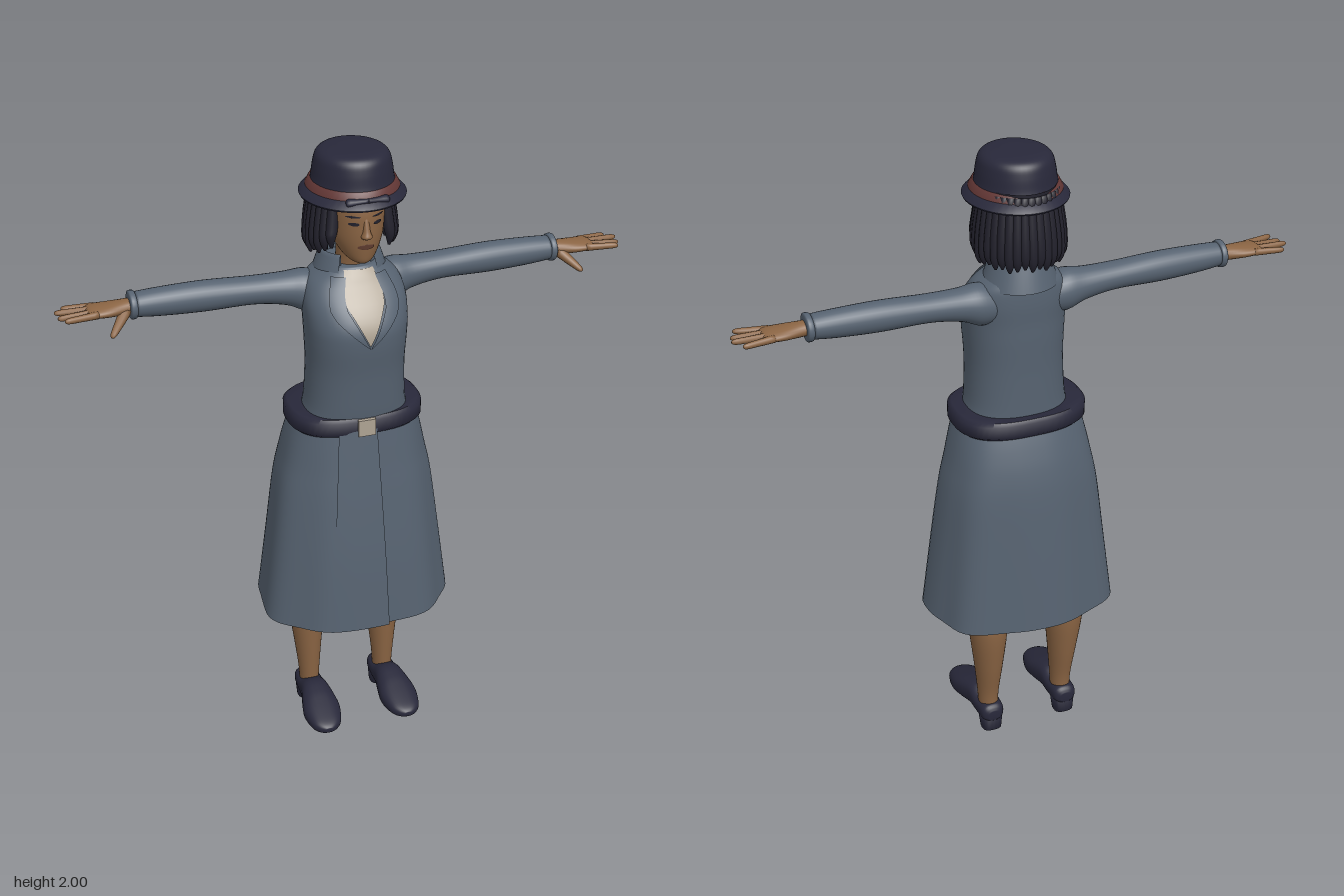
import * as THREE from 'three';
import { toCreasedNormals } from 'three/addons/utils/BufferGeometryUtils.js';

const mat = (name, color, double) => new THREE.MeshStandardMaterial({
  name, color, side: double ? THREE.DoubleSide : THREE.FrontSide });
const M = {
  cloth: mat('slate cloth', 0x566270, true),
  skin: mat('skin', 0x8a6443),
  dark: mat('dark felt and leather', 0x28283a),
  hair: mat('hair', 0x22212c, true),
  shirt: mat('shirt', 0xaea393, true),
  band: mat('hat band', 0x633735),
  lips: mat('lips', 0x613d30, true),
};

// Grid surface from fn(u, v); wrap joins the last column to the first.
function grid(nu, nv, fn, wrap = false, caps = false) {
  const pos = [], idx = [], cols = wrap ? nu : nu + 1;
  for (let j = 0; j <= nv; j++) for (let i = 0; i < cols; i++) pos.push(...fn(i / nu, j / nv, j));
  for (let j = 0; j < nv; j++) for (let i = 0; i < nu; i++) {
    const a = j * cols + i, b = j * cols + (i + 1) % cols, c = a + cols, d = b + cols;
    if (wrap) idx.push(a, c, b, b, c, d); else idx.push(a, b, c, b, d, c);
  }
  if (caps) for (const j of [0, nv]) {
    const mid = [0, 0, 0], k = pos.length / 3;
    for (let i = 0; i < cols; i++) for (let n = 0; n < 3; n++) mid[n] += pos[(j * cols + i) * 3 + n] / cols;
    pos.push(...mid);
    for (let i = 0; i < cols; i++) {
      const a = j * cols + i, b = j * cols + (i + 1) % cols;
      if (j) idx.push(a, k, b); else idx.push(a, b, k);
    }
  }
  const g = new THREE.BufferGeometry();
  g.setAttribute('position', new THREE.Float32BufferAttribute(pos, 3));
  g.setIndex(idx);
  g.computeVertexNormals();
  return g;
}

// Smoothly resample cross-section rows [y, centreX, centreZ, radiusX, radiusZ].
function smooth(keys, steps = 5) {
  const out = [], at = i => keys[Math.min(Math.max(i, 0), keys.length - 1)];
  for (let i = 0; i < keys.length - 1; i++) for (let s = 0; s < steps; s++) {
    const t = s / steps;
    out.push(keys[i].map((p1, n) => {
      const p0 = at(i - 1)[n], p2 = at(i + 1)[n], p3 = at(i + 2)[n];
      return p1 + 0.5 * t * (p2 - p0 + t * (2 * p0 - 5 * p1 + 4 * p2 - p3 + t * (3 * (p1 - p2) + p3 - p0)));
    }));
  }
  out.push(keys[keys.length - 1]);
  return out;
}

const sp = (v, p) => Math.sign(v) * Math.abs(v) ** p;
function loft(rows, { pow = 1, segs = 32, caps = true, wave = () => 0 } = {}) {
  return grid(segs, rows.length - 1, (u, v, j) => {
    const [y, cx, cz, rx, rz] = rows[j], a = u * Math.PI * 2, w = 1 + wave(a, v);
    return [cx + rx * w * sp(Math.cos(a), pow), y, cz + rz * w * sp(Math.sin(a), pow)];
  }, true, caps);
}

// Front surface depth of a loft at (x, y).
function frontZ(rows, pow, x, y) {
  let i = 0;
  while (i < rows.length - 2 && rows[i + 1][0] < y) i++;
  const t = THREE.MathUtils.clamp((y - rows[i][0]) / (rows[i + 1][0] - rows[i][0]), 0, 1);
  const [, , cz, rx, rz] = rows[i].map((p, n) => p + (rows[i + 1][n] - p) * t);
  return cz + rz * Math.max(0, 1 - Math.abs(x / rx) ** (2 / pow)) ** (pow / 2);
}
// Thin patch lying on a loft's front, between two side curves.
const patch = (rows, pow, y0, y1, left, right, off, nu = 8, nv = 14) => grid(nu, nv, (u, v) => {
  const y = y0 + (y1 - y0) * v, a = left(v), x = a + (right(v) - a) * u;
  return [x, y, frontZ(rows, pow, x, y) + off];
});
const spot = (rows, cx, cy, w, h, off = 0.003) => patch(rows, 1, cy - h, cy + h,
  v => cx - w * Math.sqrt(Math.sin(Math.PI * v) + 1e-6),
  v => cx + w * Math.sqrt(Math.sin(Math.PI * v) + 1e-6), off, 6, 6);

// Tapered round limb from a to b.
function limb(a, b, r0, r1) {
  const A = new THREE.Vector3(...a), d = new THREE.Vector3(...b).sub(A), L = d.length();
  const g = loft(smooth([[0, 0, 0, r0, r0], [L * 0.5, 0, 0, (r0 + r1) / 2, (r0 + r1) / 2],
    [L * 0.9, 0, 0, r1, r1], [L, 0, 0, r1 * 0.35, r1 * 0.35]], 3), { segs: 10 });
  g.applyQuaternion(new THREE.Quaternion().setFromUnitVectors(new THREE.Vector3(0, 1, 0), d.normalize()));
  return g.translate(A.x, A.y, A.z);
}
function mirror(g) {
  const m = g.clone(), p = m.attributes.position, ix = m.index.array;
  for (let i = 0; i < p.count; i++) p.setX(i, -p.getX(i));
  for (let i = 0; i < ix.length; i += 3) [ix[i], ix[i + 1]] = [ix[i + 1], ix[i]];
  m.computeVertexNormals();
  return m;
}

export function createModel() {
  const root = new THREE.Group();
  root.name = 'standingWoman';
  const add = (name, g, m) => { const o = new THREE.Mesh(g, m); o.name = name; root.add(o); };
  const pair = (name, g, m) => { add(name + 'Left', g, m); add(name + 'Right', mirror(g), m); };

  // Skirt with a waving hem and an overlapping front panel
  const skirt = smooth([[0.46, 0, 0, 0.305, 0.232], [0.7, 0, 0, 0.275, 0.213], [0.9, 0, -0.003, 0.25, 0.192],
    [1.0, 0, -0.002, 0.23, 0.177], [1.08, 0, 0.004, 0.213, 0.16], [1.15, 0, 0.012, 0.195, 0.142]]);
  add('skirt', loft(skirt, { pow: 0.82, segs: 72, caps: false,
    wave: (a, v) => 0.025 * (1 - v) * Math.sin(7 * a + 0.6) }), M.cloth);
  add('skirtFrontPanel', patch(skirt, 0.82, 0.46, 1.14, v => -0.14 + 0.05 * v, v => 0.05 - 0.02 * v, 0.008), M.cloth);

  // Jacket body
  const torso = smooth([[1.14, 0, 0.02, 0.17, 0.13], [1.2, 0, 0.025, 0.156, 0.134], [1.32, 0, 0.03, 0.15, 0.138],
    [1.42, 0, 0.035, 0.154, 0.145], [1.48, 0, 0.033, 0.157, 0.143], [1.54, 0, 0.016, 0.157, 0.128],
    [1.59, 0, -0.004, 0.142, 0.106], [1.62, 0, -0.012, 0.108, 0.094], [1.64, 0, -0.015, 0.075, 0.08]]);
  add('jacketBody', loft(torso, { pow: 0.85, segs: 48 }), M.cloth);

  // Shirt front and lapels
  const shirtW = v => 0.06 * Math.min(1, v * 1.7) - 0.015 * Math.max(0, v - 0.75) * 4;
  add('shirtFront', patch(torso, 0.85, 1.43, 1.635, v => -shirtW(v), shirtW, 0.005), M.shirt);
  pair('lapel', patch(torso, 0.85, 1.425, 1.62, shirtW,
    v => shirtW(v) + 0.002 + 0.058 * Math.min(1, v * 2.2) * (1 - 0.35 * v), 0.009), M.cloth);

  // Turned-over collar, open at the front
  const fold = [[0.082, 1.6], [0.08, 1.665], [0.086, 1.677], [0.094, 1.665], [0.118, 1.595]];
  add('collar', grid(36, 4, (u, v, j) => {
    const a = 0.6 + u * (Math.PI * 2 - 1.2), [r, y] = fold[j];
    return [Math.sin(a) * r, y, -0.02 + Math.cos(a) * r * 0.95];
  }), M.cloth);

  // Belt and buckle
  add('belt', toCreasedNormals(loft([[1.125, 0, 0.01, 0.17, 0.12], [1.12, 0, 0.006, 0.2, 0.148],
    [1.13, 0, 0.006, 0.212, 0.157], [1.17, 0, 0.006, 0.212, 0.157], [1.18, 0, 0.006, 0.2, 0.148],
    [1.175, 0, 0.01, 0.15, 0.12]], { pow: 0.75, segs: 56 }), 0.9), M.dark);
  const buckle = new THREE.BoxGeometry(0.055, 0.054, 0.012);
  add('buckle', buckle.translate(-0.004, 1.15, 0.164), M.shirt);

  // Sleeves, laid along x: rows are [x, height, z, radiusY, radiusZ]
  const alongX = (keys, o) => loft(smooth(keys.map(([x, y, ...r]) => [x, -y, ...r])), o).rotateZ(-Math.PI / 2);
  pair('sleeve', alongX([[0.09, 1.54, -0.03, 0.058, 0.06], [0.14, 1.545, -0.033, 0.066, 0.062],
    [0.2, 1.555, -0.037, 0.051, 0.052], [0.3, 1.563, -0.038, 0.043, 0.047], [0.45, 1.566, -0.038, 0.047, 0.046],
    [0.58, 1.568, -0.037, 0.043, 0.043], [0.655, 1.57, -0.036, 0.037, 0.041]], { segs: 28 }), M.cloth);
  pair('cuff', alongX([[0.652, 1.57, -0.036, 0.036, 0.04], [0.656, 1.57, -0.036, 0.042, 0.045],
    [0.67, 1.57, -0.036, 0.042, 0.045], [0.673, 1.57, -0.036, 0.03, 0.034]], { segs: 28 }), M.cloth);

  // Hands
  pair('palm', alongX([[0.65, 1.57, -0.036, 0.021, 0.026], [0.69, 1.568, -0.034, 0.022, 0.031],
    [0.74, 1.567, -0.033, 0.019, 0.042], [0.785, 1.568, -0.033, 0.014, 0.044],
    [0.8, 1.568, -0.033, 0.006, 0.036]], { segs: 20 }), M.skin);
  for (const [i, tip] of [0.865, 0.89, 0.885, 0.87].entries()) {
    pair('finger' + (i + 1), limb([0.77, 1.568, -0.066 + i * 0.022],
      [tip, 1.566 + 0.004 * (i % 2), -0.08 + i * 0.033], 0.0115, 0.0085), M.skin);
  }
  pair('thumb', limb([0.685, 1.56, -0.02], [0.742, 1.51, 0.042], 0.018, 0.009), M.skin);

  // Legs
  pair('leg', loft(smooth([[0.04, 0.13, -0.065, 0.03, 0.038], [0.13, 0.13, -0.063, 0.034, 0.042],
    [0.25, 0.131, -0.071, 0.046, 0.058], [0.38, 0.133, -0.077, 0.061, 0.071], [0.46, 0.134, -0.072, 0.065, 0.072],
    [0.65, 0.125, -0.04, 0.072, 0.08], [1.0, 0.1, 0, 0.085, 0.09]])), M.skin);

  // Shoes, laid along z: rows are [z, x, bottom, top, radiusX]
  const shoe = [[-0.122, 0.13, 0.045, 0.08, 0.02], [-0.105, 0.13, 0.035, 0.1, 0.038], [-0.05, 0.13, 0.033, 0.1, 0.043],
    [0, 0.131, 0.03, 0.118, 0.046], [0.05, 0.133, 0.022, 0.11, 0.056], [0.1, 0.135, 0.018, 0.094, 0.062],
    [0.155, 0.137, 0.024, 0.074, 0.05], [0.18, 0.138, 0.03, 0.063, 0.032], [0.192, 0.138, 0.038, 0.054, 0.012]];
  pair('shoe', loft(smooth(shoe.map(([z, x, b, t, r]) => [z, x, -(b + t) / 2, r, (t - b) / 2])),
    { pow: 0.8, segs: 28 }).rotateX(Math.PI / 2), M.dark);
  pair('shoeHeel', loft([[0, 0.13, -0.088, 0.033, 0.029], [0.06, 0.13, -0.083, 0.039, 0.037]],
    { pow: 0.7, segs: 20 }), M.dark);

  // Neck and head
  add('neck', loft(smooth([[1.58, 0, -0.015, 0.06, 0.058], [1.65, 0, 0, 0.048, 0.05], [1.74, 0, 0.012, 0.05, 0.055]])), M.skin);
  const head = smooth([[1.672, 0, 0.098, 0.016, 0.02], [1.682, 0, 0.078, 0.037, 0.05], [1.705, 0, 0.058, 0.057, 0.076],
    [1.745, 0, 0.04, 0.076, 0.1], [1.79, 0, 0.03, 0.084, 0.112], [1.85, 0, 0.02, 0.09, 0.118], [1.92, 0, 0.012, 0.085, 0.1]]);
  add('head', loft(head, { segs: 40 }), M.skin);
  add('nose', loft(smooth([[1.757, 0, 0.138, 0.008, 0.006], [1.766, 0, 0.142, 0.017, 0.019],
    [1.785, 0, 0.14, 0.011, 0.014], [1.825, 0, 0.132, 0.008, 0.008]]), { segs: 14 }), M.skin);
  add('lips', spot(head, 0, 1.733, 0.026, 0.009), M.lips);
  pair('eye', spot(head, 0.036, 1.806, 0.015, 0.006), M.hair);
  pair('eyebrow', spot(head, 0.038, 1.828, 0.02, 0.0035), M.hair);

  // Bobbed hair: an inner shell behind a row of hanging locks
  const a0 = 0.78, sweep = Math.PI * 2 - 2 * a0;
  add('hairShell', grid(32, 4, (u, v) => {
    const a = a0 + 0.15 + u * (sweep - 0.3), r = 1 - 0.06 * v;
    return [Math.sin(a) * 0.118 * r, 1.71 + 0.2 * v, -0.01 + Math.cos(a) * 0.13 * r];
  }), M.hair);
  const locks = 28;
  for (let i = 0; i < locks; i++) {
    const a = a0 + sweep * i / (locks - 1), front = Math.max(0, Math.cos(a));
    const tip = 1.672 + 0.05 * front + 0.012 * ((i * 7) % 5) / 4;
    const row = (y, k, r) => [y, Math.sin(a) * 0.124 * k, -0.012 + Math.cos(a) * 0.134 * k, r, r];
    add('hairLock' + (i + 1), loft(smooth([row(tip, 1.02, 0.004), row(tip + 0.035, 1.04, 0.015),
      row(1.79, 0.98, 0.018), row(1.9, 0.86, 0.014)], 4), { segs: 10 }), M.hair);
  }

  // Hat: brim, crown, band and a small bow
  const ring = (y, r) => [y, 0, 0.01, r, r * 1.08];
  add('hatBrim', toCreasedNormals(loft([ring(1.88, 0.1), ring(1.868, 0.125), ring(1.858, 0.156),
    ring(1.863, 0.158), ring(1.89, 0.134), ring(1.895, 0.1)], { segs: 48 }), 0.8), M.dark);
  add('hatCrown', loft(smooth([ring(1.88, 0.13), ring(1.91, 0.122), ring(1.95, 0.116), ring(1.98, 0.107),
    ring(1.995, 0.085), ring(2.0, 0.04)]), { segs: 48 }), M.dark);
  add('hatBand', loft([ring(1.876, 0.139), ring(1.884, 0.139), ring(1.905, 0.128), ring(1.906, 0.12)], { segs: 48 }), M.band);
  pair('hatBow', limb([0, 1.884, 0.16], [0.065, 1.878, 0.146], 0.007, 0.013), M.dark);
  return root;
}
